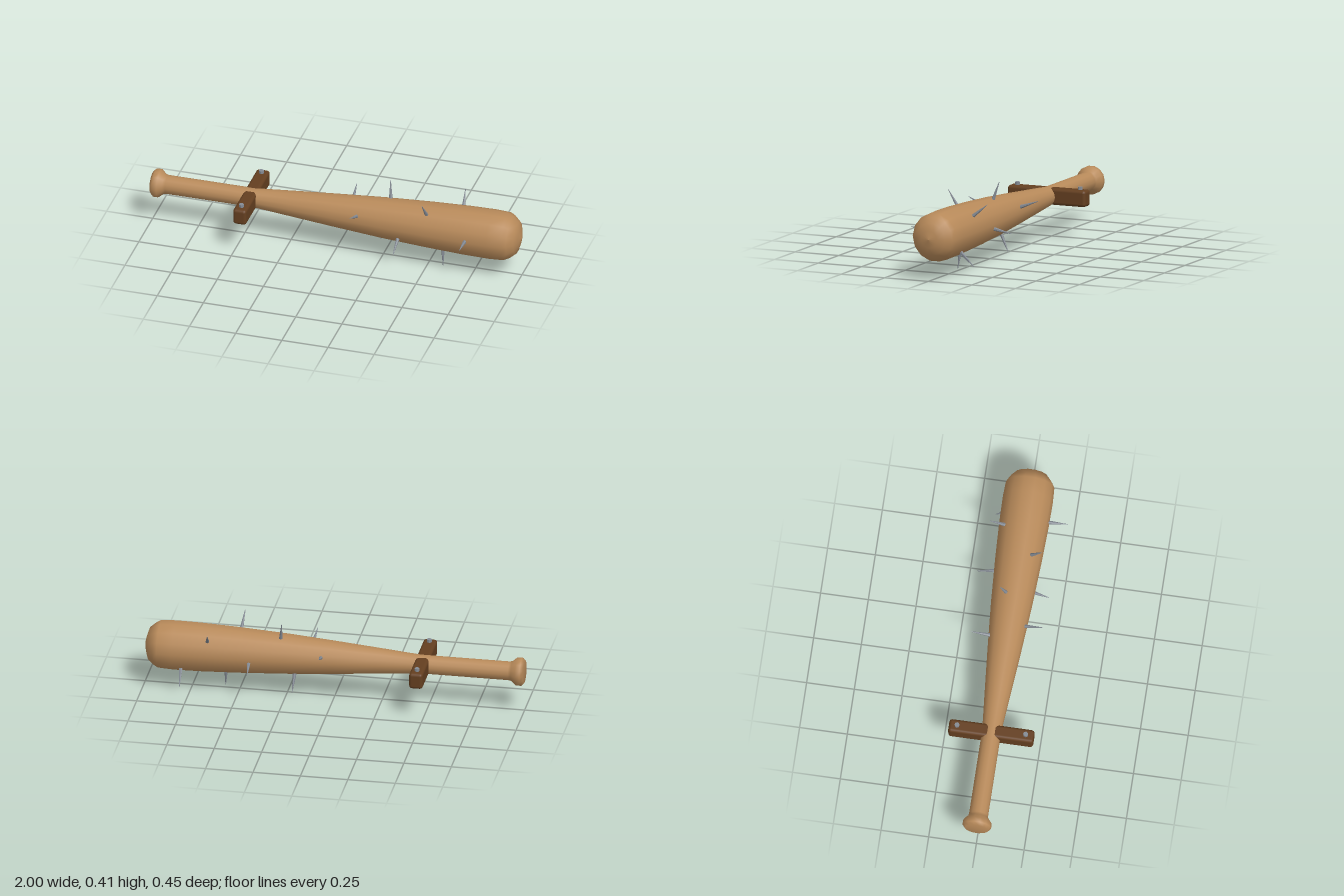
import * as THREE from 'three';
import { RoundedBoxGeometry } from 'three/addons/geometries/RoundedBoxGeometry.js';

const AXIS_Y = 0.219;

export function createModel() {
  const wood = new THREE.MeshStandardMaterial({ name: 'lightWood', color: 0xb88a5a });
  const darkWood = new THREE.MeshStandardMaterial({ name: 'darkWood', color: 0x643f20 });
  const steel = new THREE.MeshStandardMaterial({ name: 'steel', color: 0x858b94, flatShading: true });

  const model = new THREE.Group();
  model.name = 'spikedBat';
  const add = (name, geometry, material, parent = model) => {
    const mesh = new THREE.Mesh(geometry, material);
    mesh.name = name;
    parent.add(mesh);
    return mesh;
  };

  // Bat body: turned profile of [radius, x], laid along x
  const profile = [
    [0, -1], [0.06, -1], [0.075, -0.985], [0.075, -0.96], [0.053, -0.935], [0.05, -0.92],
    [0.05, -0.45], [0.068, -0.24], [0.088, 0], [0.107, 0.25], [0.121, 0.5], [0.129, 0.7],
    [0.131, 0.84], [0.127, 0.92], [0.113, 0.945], [0.085, 0.977], [0.045, 0.99], [0, 1],
  ];
  const body = new THREE.LatheGeometry(profile.map(([r, x]) => new THREE.Vector2(r, x)), 14);
  body.rotateZ(-Math.PI / 2);
  add('batBody', body, wood).position.y = AXIS_Y;

  // Crossguard with a bolt head near each end
  add('crossguard', new RoundedBoxGeometry(0.072, 0.087, 0.446, 2, 0.016), darkWood)
    .position.set(-0.465, 0.22, 0);
  for (const side of [-1, 1]) {
    add('guardBolt', new THREE.CylinderGeometry(0.013, 0.013, 0.024, 8), steel)
      .position.set(-0.465, 0.267, side * 0.18);
  }

  // Radius of the bat at a given x
  const radiusAt = (x) => {
    const i = profile.findIndex((p) => p[1] >= x);
    const [r0, x0] = profile[i - 1], [r1, x1] = profile[i];
    return r0 + (r1 - r0) * (x - x0) / (x1 - x0);
  };

  // Nails pointing outwards: base x, then tip x, y, z
  const nails = [
    [0.505, 0.495, 0.395, 0.123], [0.132, 0.123, 0.294, 0.182], [0.727, 0.729, 0.229, 0.225],
    [0.356, 0.356, 0.115, 0.18], [0.576, 0.581, 0.001, 0.028], [0.204, 0.211, 0.038, -0.085],
    [0.797, 0.791, 0.057, -0.163], [0.436, 0.426, 0.175, -0.207], [0.06, 0.051, 0.285, -0.182],
    [0.657, 0.643, 0.36, -0.17], [0.281, 0.27, 0.412, -0.062],
  ];
  const spikes = new THREE.Group();
  spikes.name = 'nails';
  model.add(spikes);
  const up = new THREE.Vector3(0, 1, 0);
  for (const [x, tipX, tipY, tipZ] of nails) {
    const tip = new THREE.Vector3(tipX, tipY, tipZ);
    const base = new THREE.Vector3(0, tipY - AXIS_Y, tipZ).setLength(radiusAt(x) - 0.015);
    base.add(new THREE.Vector3(x, AXIS_Y, 0));
    const direction = tip.clone().sub(base);
    const nail = add('nail', new THREE.CylinderGeometry(0.0015, 0.011, direction.length(), 6), steel, spikes);
    nail.position.copy(base).add(tip).multiplyScalar(0.5);
    nail.quaternion.setFromUnitVectors(up, direction.normalize());
  }
  return model;
}
